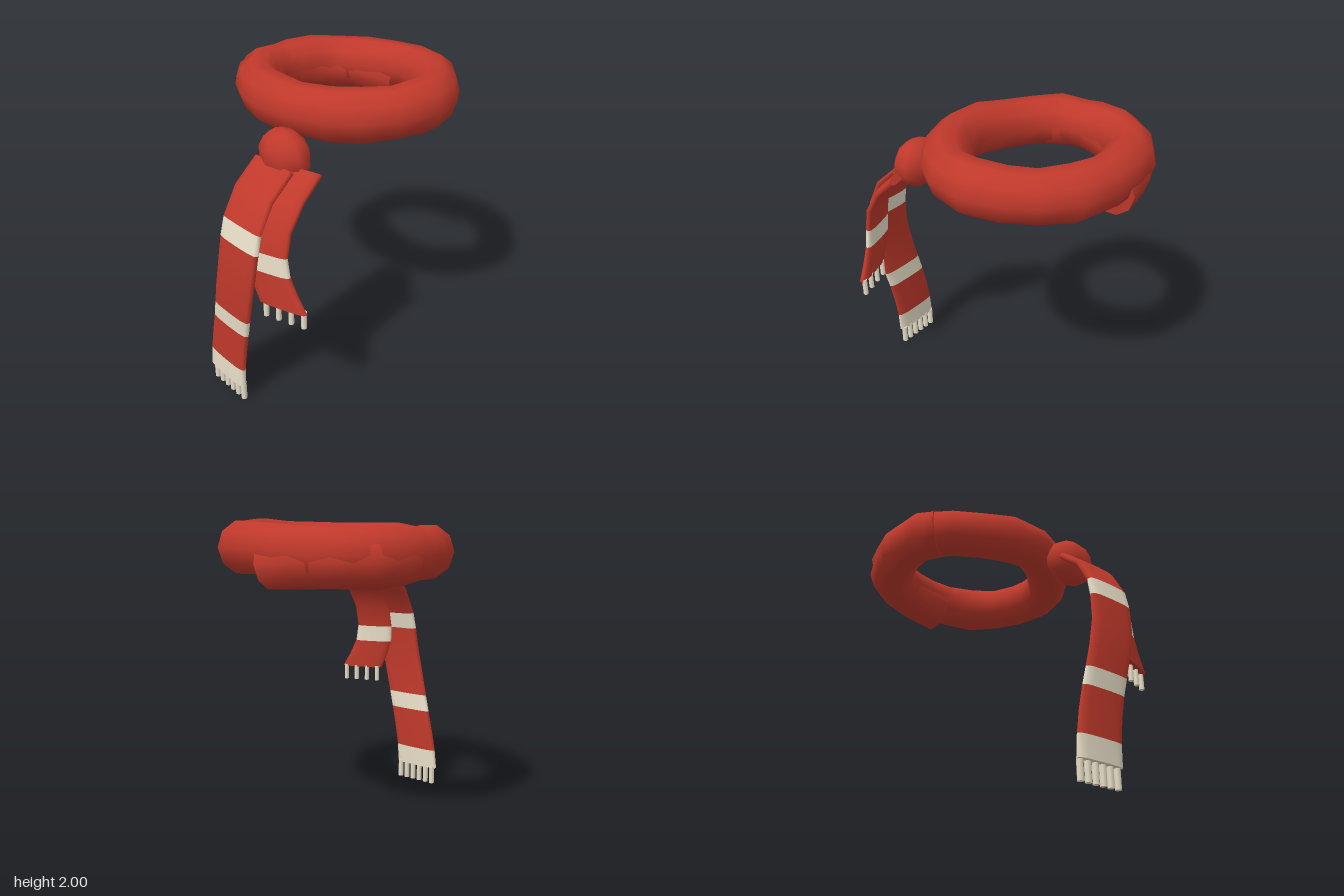
import * as THREE from 'three';

const RED = 0xc0392b, CREAM = 0xe8dfc8;
const V = (x, y, z) => new THREE.Vector3(x, y, z);

function addMesh(parent, name, geometry, color) {
  const mesh = new THREE.Mesh(geometry, new THREE.MeshStandardMaterial({ color }));
  mesh.name = name;
  parent.add(mesh);
  return mesh;
}

// Closed skin over a row of equal loops, with flat caps at both ends
function loft(loops) {
  const n = loops[0].length, pos = [], idx = [];
  const push = p => pos.push(p.x, p.y, p.z);
  loops.forEach(loop => loop.forEach(push));
  for (let i = 0; i < loops.length - 1; i++) {
    for (let j = 0; j < n; j++) {
      const a = i * n + j, b = i * n + (j + 1) % n;
      idx.push(a, b, a + n, b, b + n, a + n);
    }
  }
  [loops[0], loops[loops.length - 1]].forEach((loop, end) => {
    const base = pos.length / 3;
    loop.forEach(push);
    for (let j = 1; j < n - 1; j++) {
      idx.push(base, base + (end ? j : j + 1), base + (end ? j + 1 : j));
    }
  });
  const g = new THREE.BufferGeometry();
  g.setAttribute('position', new THREE.Float32BufferAttribute(pos, 3));
  g.setIndex(idx);
  g.computeVertexNormals();
  return g;
}

// Loop around a centre: A is the half width, B the half thickness
function loopAt(c, A, B, sides, power) {
  const soft = v => Math.sign(v) * Math.pow(Math.abs(v), power);
  return Array.from({ length: sides }, (_, j) => {
    const t = (j / sides) * Math.PI * 2;
    return c.clone().addScaledVector(A, soft(Math.cos(t))).addScaledVector(B, soft(Math.sin(t)));
  });
}

// Neck wrap: a lumpy tube wound one and a third turns, its first end low at the back
function neckWrap() {
  const steps = 25, turn = THREE.MathUtils.degToRad(487);
  const centre = u => {
    const a = -Math.PI / 2 + 0.05 - u * turn;
    const low = 0.07 * Math.max(0, 1 - u * 4.5);
    const wob = 0.012 * Math.sin(a * 5 + 1);
    return V((0.6 + wob) * Math.cos(a),
      1.825 - low + 0.02 * Math.cos(a) + 0.008 * Math.sin(u * 37),
      -0.225 + (0.515 + wob) * Math.sin(a));
  };
  const loops = [];
  for (let i = 0; i <= steps; i++) {
    const u = i / steps, c = centre(u);
    const T = centre(u + 0.01).sub(centre(u - 0.01)).normalize();
    const A = V(T.z, 0, -T.x).normalize();
    if (A.x * c.x + A.z * (c.z + 0.225) < 0) A.negate();
    const B = T.clone().cross(A);
    const r = 0.152 + 0.006 * Math.sin(i * 2.3);
    loops.push(loopAt(c, A.multiplyScalar(r), B.multiplyScalar(r + 0.006), 10, 1));
  }
  return loft(loops);
}

// Hanging tail: rows are [x, y, z, half width]; bands are [first row, last row, colour]
function addTail(parent, name, rows, bands, yaw, thick, tassels, length, radius) {
  const tail = new THREE.Group();
  tail.name = name;
  parent.add(tail);
  const side = V(Math.cos(yaw), 0, -Math.sin(yaw));
  const points = rows.map(r => V(r[0], r[1], r[2]));
  const loops = points.map((c, i) => {
    const next = points[Math.min(i + 1, points.length - 1)];
    const T = next.clone().sub(points[Math.max(i - 1, 0)]);
    const B = T.cross(side).normalize().multiplyScalar(thick);
    return loopAt(c, side.clone().multiplyScalar(rows[i][3]), B, 12, 0.65);
  });
  bands.forEach(([from, to, color]) => {
    addMesh(tail, color === RED ? 'tailCloth' : 'tailStripe', loft(loops.slice(from, to + 1)), color);
  });
  // Fringe along the lower edge
  const end = points[points.length - 1], half = rows[rows.length - 1][3] - 0.032;
  for (let i = 0; i < tassels; i++) {
    const tassel = addMesh(tail, 'tassel', new THREE.CylinderGeometry(radius, radius, length, 7), CREAM);
    tassel.position.copy(end).addScaledVector(side, half * (2 * i / (tassels - 1) - 1));
    tassel.position.y += 0.01 - length / 2;
    tassel.position.z -= 0.012;
  }
}

export function createModel() {
  const scarf = new THREE.Group();
  scarf.name = 'scarf';

  addMesh(scarf, 'neckWrap', neckWrap(), RED);

  const knot = addMesh(scarf, 'knot', new THREE.SphereGeometry(1, 9, 7), RED);
  knot.scale.set(0.182, 0.155, 0.125);
  knot.position.set(0.27, 1.66, 0.51);

  addTail(scarf, 'longTail', [
    [0.265, 1.62, 0.585, 0.165], [0.265, 1.49, 0.735, 0.165], [0.262, 1.32, 0.825, 0.167],
    [0.257, 1.2, 0.85, 0.17], [0.24, 1.03, 0.868, 0.17], [0.2, 0.84, 0.87, 0.17],
    [0.163, 0.69, 0.864, 0.168], [0.133, 0.57, 0.858, 0.168], [0.1, 0.42, 0.857, 0.17],
    [0.075, 0.27, 0.859, 0.172], [0.064, 0.13, 0.862, 0.175],
  ], [[0, 2, RED], [2, 3, CREAM], [3, 6, RED], [6, 7, CREAM], [7, 9, RED], [9, 10, CREAM]],
  0, 0.028, 6, 0.13, 0.02);

  addTail(scarf, 'shortTail', [
    [0.42, 1.62, 0.525, 0.138], [0.425, 1.5, 0.66, 0.138], [0.424, 1.35, 0.755, 0.138],
    [0.422, 1.2, 0.785, 0.138], [0.437, 1.08, 0.785, 0.142], [0.48, 0.97, 0.775, 0.15],
    [0.53, 0.87, 0.765, 0.158],
  ], [[0, 3, RED], [3, 4, CREAM], [4, 6, RED]],
  0.33, 0.026, 4, 0.115, 0.017);

  return scarf;
}
